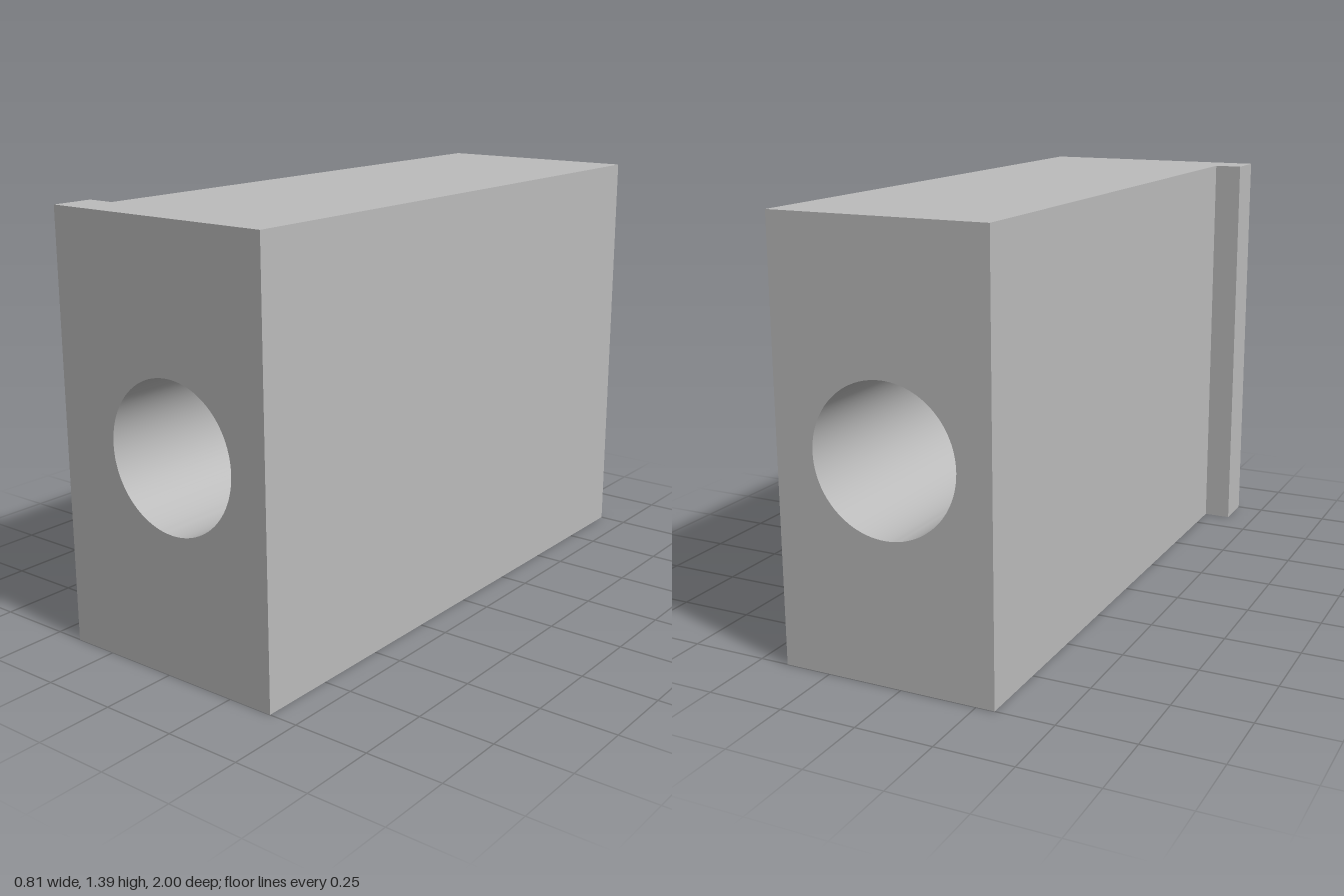
import * as THREE from 'three';
import { toCreasedNormals } from 'three/addons/utils/BufferGeometryUtils.js';

const HEIGHT = 1.395, RIGHT = 0.404, BODY_LEFT = -0.31, LIP_LEFT = -0.404;
const LIP_BACK = 0.86, BORE_X = 0.04, BORE_RADIUS = 0.238;

// Rectangular slab with a round bore, extruded along z
function boredSlab(left, zBack, zFront, material, name) {
  const shape = new THREE.Shape();
  shape.moveTo(left, 0);
  shape.lineTo(RIGHT, 0);
  shape.lineTo(RIGHT, HEIGHT);
  shape.lineTo(left, HEIGHT);
  shape.closePath();

  const bore = new THREE.Path();
  bore.absarc(BORE_X, HEIGHT / 2, BORE_RADIUS, 0, Math.PI * 2, true);
  shape.holes.push(bore);

  const geometry = new THREE.ExtrudeGeometry(shape, {
    depth: zFront - zBack, bevelEnabled: false, curveSegments: 48,
  });
  geometry.translate(0, 0, zBack);
  const mesh = new THREE.Mesh(toCreasedNormals(geometry, 0.5), material);
  mesh.name = name;
  return mesh;
}

export function createModel() {
  const grey = new THREE.MeshStandardMaterial({ color: 0xbbbbbb });
  grey.name = 'plain grey';

  const model = new THREE.Group();
  model.name = 'boredBlock';

  // Block with a bore running its full length
  model.add(boredSlab(BODY_LEFT, -1, 1, grey, 'body'));

  // Full-height lip along one front edge
  const lipGeometry = new THREE.BoxGeometry(BODY_LEFT - LIP_LEFT, HEIGHT, 1 - LIP_BACK);
  const lip = new THREE.Mesh(lipGeometry, grey);
  lip.position.set((BODY_LEFT + LIP_LEFT) / 2, HEIGHT / 2, (1 + LIP_BACK) / 2);
  lip.name = 'frontLip';
  model.add(lip);

  return model;
}
